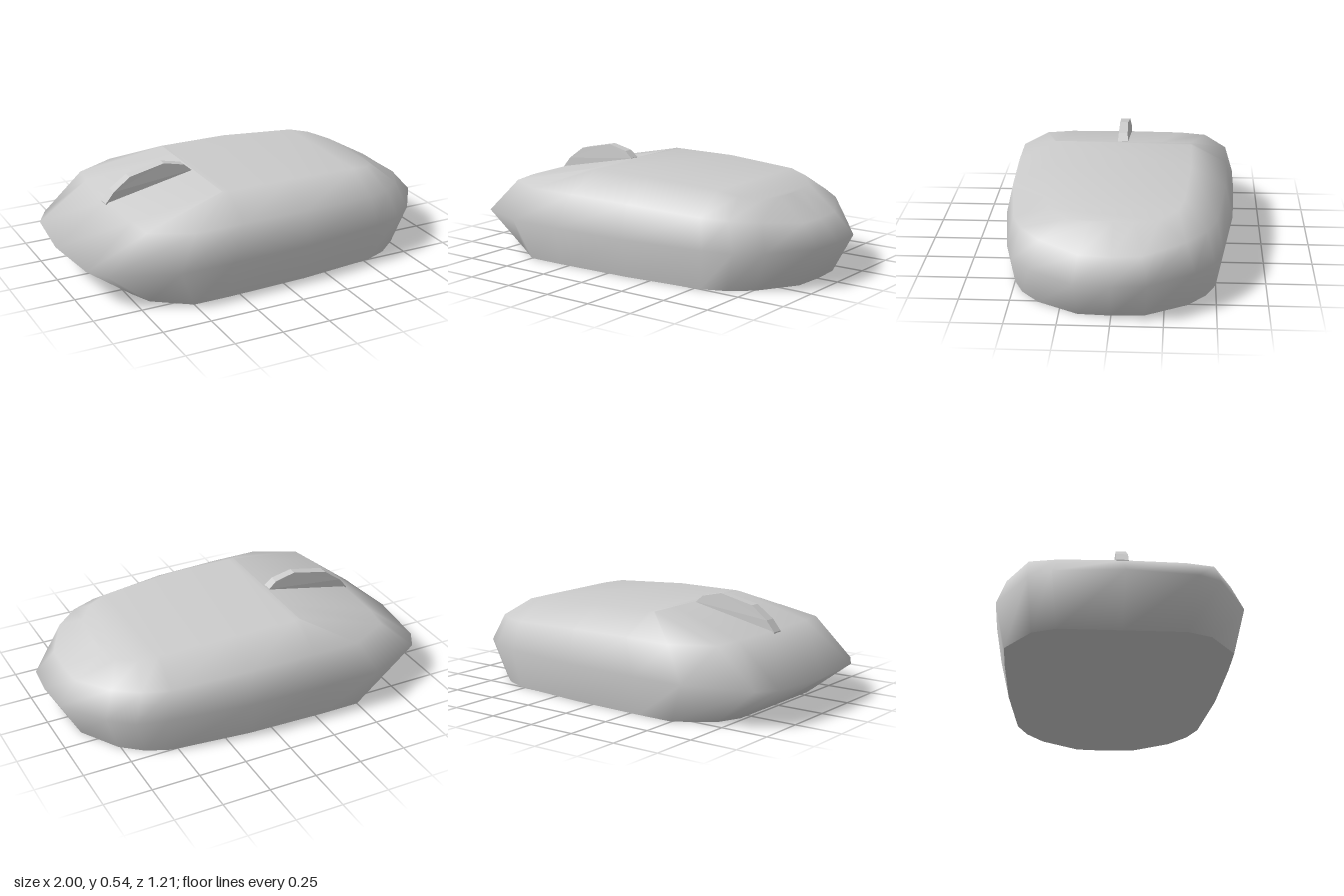
import * as THREE from 'three';

// Columns from nose to tail on one side; each lists [x, y, z] upwards:
// base, widest line, shoulder, top edge
const columns = [
  [[-0.73, 0, 0], [-1, 0.18, 0], [-0.72, 0.38, 0], [-0.25, 0.475, 0]],
  [[-0.73, 0, 0.31], [-0.965, 0.18, 0.34], [-0.71, 0.38, 0.31], [-0.25, 0.475, 0.2]],
  [[-0.68, 0, 0.43], [-0.9, 0.185, 0.45], [-0.69, 0.375, 0.45], [-0.25, 0.475, 0.36]],
  [[-0.5, 0, 0.56], [-0.585, 0.2, 0.605], [-0.48, 0.375, 0.56], [-0.25, 0.475, 0.37]],
  [[-0.3, 0, 0.56], [-0.3, 0.2, 0.605], [-0.23, 0.375, 0.56], [-0.22, 0.475, 0.37]],
  [[0.12, 0, 0.545], [0.12, 0.2, 0.59], [0.12, 0.37, 0.55], [0.12, 0.475, 0.37]],
  [[0.53, 0, 0.5], [0.56, 0.2, 0.53], [0.53, 0.35, 0.5], [0.52, 0.455, 0.34]],
  [[0.65, 0, 0.45], [0.71, 0.2, 0.49], [0.66, 0.345, 0.45], [0.62, 0.435, 0.31]],
  [[0.76, 0, 0.36], [0.83, 0.2, 0.395], [0.78, 0.335, 0.35], [0.7, 0.412, 0.22]],
  [[0.88, 0, 0.16], [0.985, 0.2, 0.175], [0.89, 0.31, 0.15], [0.72, 0.408, 0.1]],
  [[0.89, 0, 0], [1, 0.2, 0], [0.895, 0.305, 0], [0.72, 0.408, 0]],
];
const material = new THREE.MeshStandardMaterial({ color: 0xcccccc });

function makeShell(loop) {
  const n = loop.length, levels = 4, index = [];
  for (let i = 0; i < n; i++) {
    const a = i * levels, b = ((i + 1) % n) * levels;
    for (let k = 0; k < levels - 1; k++) {
      index.push(a + k, b + k, b + k + 1, a + k, b + k + 1, a + k + 1);
    }
  }
  // Top surface: strips from one side to the other
  for (let i = 2; i < columns.length - 1; i++) {
    const top = (c) => (c % n) * levels + levels - 1;
    const a = top(i), b = top(i + 1), c = top(n - i - 1), d = top(n - i);
    index.push(a, b, c, a, c, d);
  }
  const geometry = new THREE.BufferGeometry();
  geometry.setAttribute('position', new THREE.Float32BufferAttribute(loop.flat(2), 3));
  geometry.setIndex(index);
  geometry.computeVertexNormals();
  return geometry;
}

function makeWheel() {
  const profile = [[-0.735, 0.34], [-0.26, 0.44], [-0.26, 0.475], [-0.3, 0.51],
    [-0.41, 0.535], [-0.6, 0.495], [-0.69, 0.43], [-0.735, 0.375]];
  const shape = new THREE.Shape(profile.map(([x, y]) => new THREE.Vector2(x, y)));
  const geometry = new THREE.ExtrudeGeometry(shape, { depth: 2, bevelEnabled: false });
  geometry.translate(0, 0, -1);
  // Narrow the sides towards the crown
  const p = geometry.attributes.position;
  for (let i = 0; i < p.count; i++) {
    p.setZ(i, p.getZ(i) * (0.03 - 0.008 * Math.max(0, (p.getY(i) - 0.44) / 0.095)));
  }
  geometry.computeVertexNormals();
  return geometry;
}

export function createModel() {
  const group = new THREE.Group();
  const add = (name, geometry) => {
    const mesh = new THREE.Mesh(geometry, material);
    mesh.name = name;
    group.add(mesh);
  };
  // Mirror the inner columns to close the loop
  const mirrored = columns.slice(1, -1).reverse()
    .map((col) => col.map(([x, y, z]) => [x, y, -z]));
  const loop = [...columns, ...mirrored];

  add('bodyShell', makeShell(loop));

  // Flat underside
  const outline = new THREE.Shape(loop.map(([[x, , z]]) => new THREE.Vector2(x, z)));
  add('base', new THREE.ShapeGeometry(outline).rotateX(Math.PI / 2));

  add('scrollWheel', makeWheel());
  return group;
}
